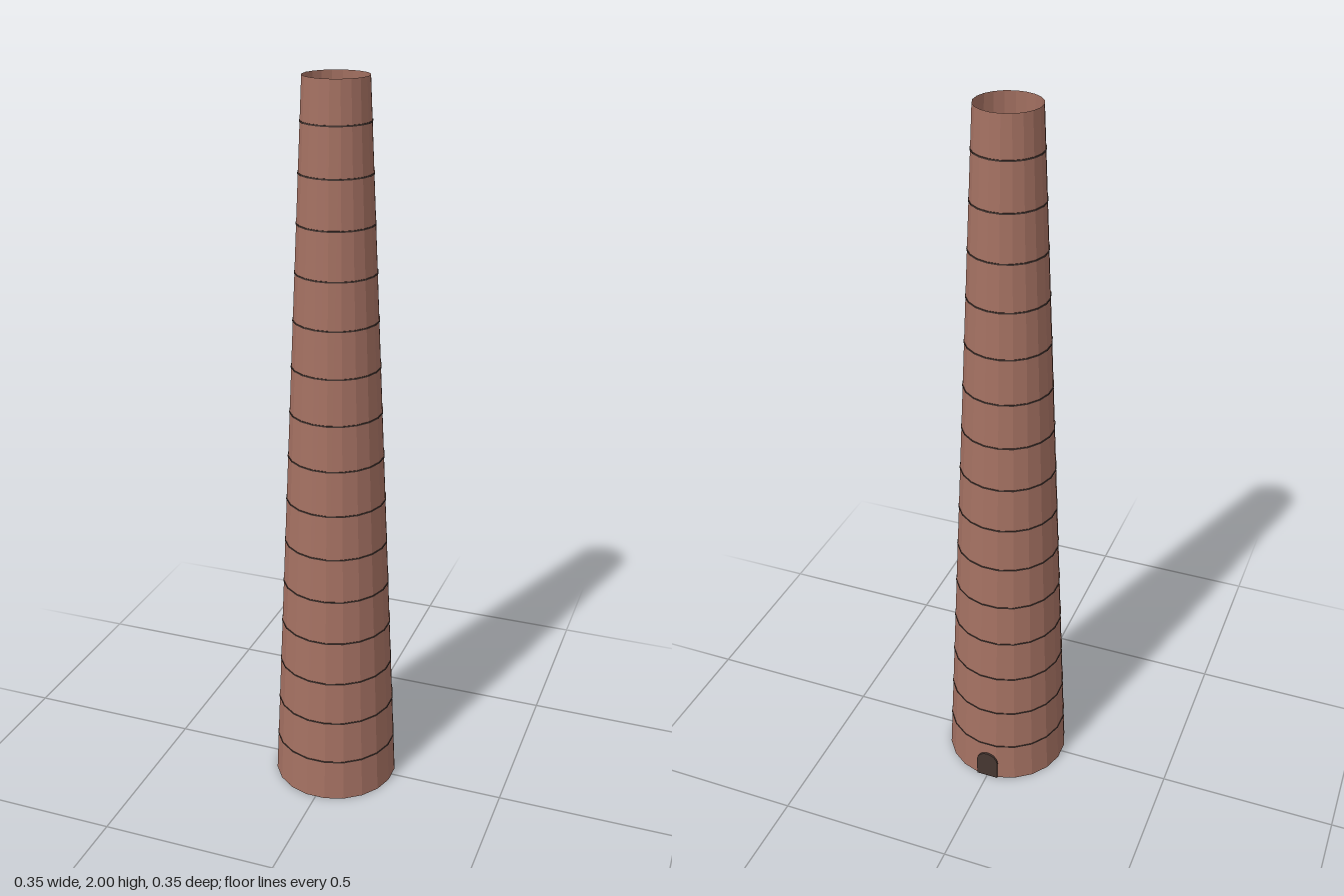
import * as THREE from 'three';

export function createModel() {
  const group = new THREE.Group();
  const brick = new THREE.MeshStandardMaterial({ color: 0xa47162, flatShading: true, side: THREE.DoubleSide });
  brick.name = 'brick';
  const iron = new THREE.MeshStandardMaterial({ color: 0x463631, flatShading: true });
  iron.name = 'dark iron';

  const add = (name, geometry, material) => {
    const mesh = new THREE.Mesh(geometry, material);
    mesh.name = name;
    group.add(mesh);
    return mesh;
  };

  // Hollow tapering brick shaft
  const SIDES = 20, HEIGHT = 2, BASE_RADIUS = 0.176, TOP_RADIUS = 0.085;
  const turn = Math.PI / SIDES; // puts a flat facet at the front
  const radiusAt = (y) => THREE.MathUtils.lerp(BASE_RADIUS, TOP_RADIUS, y / HEIGHT);
  const shaft = new THREE.CylinderGeometry(TOP_RADIUS, BASE_RADIUS, HEIGHT, SIDES, 1, true, turn);
  add('brickShaft', shaft, brick).position.y = HEIGHT / 2;

  // Floor closing the bottom
  const floor = new THREE.CircleGeometry(BASE_RADIUS, SIDES, turn);
  floor.rotateX(-Math.PI / 2);
  add('floor', floor, brick).position.y = 0.001;

  // Thin iron hoops clamped around the shaft, each a small square-edged ring
  const BANDS = 15, FIRST = 0.121, SPACING = 0.1264, BAND_HEIGHT = 0.004, PROUD = 0.0015;
  for (let i = 0; i < BANDS; i++) {
    const y = FIRST + i * SPACING;
    const inner = radiusAt(y) - 0.0005, outer = radiusAt(y) + PROUD, h = BAND_HEIGHT / 2;
    const profile = [[inner, -h], [outer, -h], [outer, h], [inner, h]].map(([r, v]) => new THREE.Vector2(r, v));
    add(`ironBand${i + 1}`, new THREE.LatheGeometry(profile, SIDES, turn), iron).position.y = y;
  }

  // Arched door block set through the back wall
  const half = 0.032, spring = 0.055;
  const arch = new THREE.Shape();
  arch.moveTo(-half, 0);
  arch.lineTo(half, 0);
  arch.lineTo(half, spring);
  arch.absarc(0, spring, half, 0, Math.PI, false);
  arch.lineTo(-half, 0);
  const door = new THREE.ExtrudeGeometry(arch, { depth: 0.111, bevelEnabled: false, curveSegments: 8 });
  add('archedDoor', door, iron).position.z = -0.176;

  return group;
}
